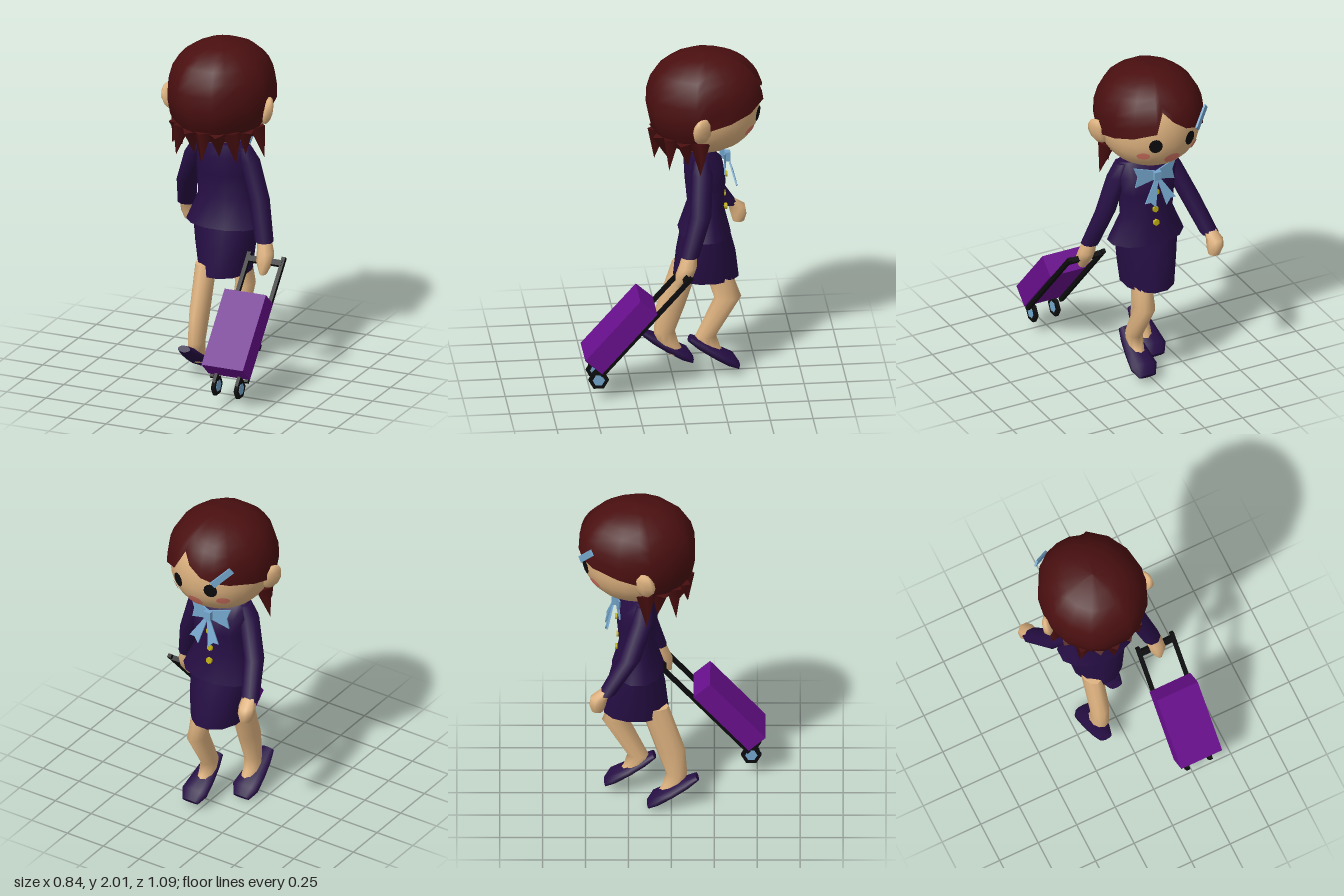
import * as THREE from 'three';

const mat = (name, color, side = THREE.FrontSide) => {
  const m = new THREE.MeshStandardMaterial({ color, side });
  m.name = name;
  return m;
};

// Joins rows of points into a skin that closes around each row
function grid(rows) {
  const n = rows[0].length, index = [];
  for (let i = 0; i < rows.length - 1; i++) for (let j = 0; j < n; j++) {
    const a = i * n + j, b = i * n + (j + 1) % n;
    index.push(a, b, b + n, a, b + n, a + n);
  }
  const g = new THREE.BufferGeometry();
  g.setAttribute('position', new THREE.Float32BufferAttribute(rows.flat(2), 3));
  g.setIndex(index);
  g.computeVertexNormals();
  return g;
}

// Capped loft through elliptical rings [x, y, z, rx, rz], bottom to top
function loft(sections, n = 10) {
  const ring = ([x, y, z, rx, rz]) => Array.from({ length: n }, (_, j) => {
    const a = (j + 0.5) / n * Math.PI * 2;
    return [x + Math.cos(a) * rx, y, z - Math.sin(a) * rz];
  });
  const centre = (s) => ring([s[0], s[1], s[2], 0, 0]);
  const first = sections[0], last = sections[sections.length - 1];
  return grid([centre(first), ring(first), ...sections.map(ring), ring(last), centre(last)]);
}

// Head surface: a slightly boxy ellipsoid, the face looks along -z
const HX = -0.055, HY = 1.69, HZ = -0.195;
const girth = (y) => Math.pow(Math.max(0, 1 - Math.pow(Math.abs((y - HY) / 0.31), 2.3)), 1 / 2.2);
const onHead = (deg, y, rx, rz) => {
  const a = THREE.MathUtils.degToRad(deg), k = girth(y);
  return [HX + Math.sin(a) * rx * k, y, HZ - Math.cos(a) * rz * k];
};

export function createModel() {
  const model = new THREE.Group();
  const skin = mat('skin', 0xdfb380), hair = mat('hair', 0x4a0f10, THREE.DoubleSide);
  const suit = mat('suit', 0x260e44), purple = mat('luggage purple', 0x680f8c);
  const black = mat('black', 0x0c0c0e), blue = mat('light blue', 0x74a6cc, THREE.DoubleSide);
  const yellow = mat('button yellow', 0xc4b414), pink = mat('blush pink', 0xdc7866);

  const add = (name, geometry, material, parent = model) => {
    const m = new THREE.Mesh(geometry, material);
    m.name = name;
    parent.add(m);
    return m;
  };

  // Head and neck
  const headRows = [];
  for (let i = 0; i <= 14; i++) {
    const y = HY + 0.3 * Math.cos(i / 14 * Math.PI);
    headRows.push(Array.from({ length: 24 }, (_, j) => {
      const p = onHead(j * 15, HY + (y - HY) * 0.31 / 0.3, 0.302, 0.328);
      return [p[0], y, p[2]];
    }));
  }
  add('head', grid(headRows), skin);
  add('neck', loft([[-0.04, 1.33, -0.18, 0.07, 0.06], [-0.045, 1.46, -0.19, 0.07, 0.06]]), skin);

  // Hair cap: [angle from the face, height of lower edge, bulge]
  const edge = [[-12, 1.735, 1.03], [2, 1.79, 1.02], [13, 1.85, 1.0], [21, 1.735, 1.05], [45, 1.69, 1.02],
    [68, 1.655, 1], [92, 1.62, 1], [103, 1.46, 1], [125, 1.46, 1], [150, 1.45, 1], [165, 1.45, 1], [195, 1.45, 1],
    [210, 1.45, 1], [235, 1.46, 1], [257, 1.46, 1], [268, 1.62, 1], [290, 1.655, 1], [318, 1.69, 1.03], [334, 1.71, 1.04]];
  const hairRows = [];
  for (let i = 0; i <= 8; i++) {
    const t = Math.pow(i / 8, 1.7);
    hairRows.push(edge.map(([deg, low, bulge]) =>
      onHead(deg, 2 - (2 - low) * t, 0.318 * bulge, 0.345 * bulge)));
  }
  add('hair', grid(hairRows), hair);

  // Pointed locks around the nape
  for (let i = 0; i < 9; i++) {
    const deg = 100 + i * 20;
    const root = new THREE.Vector3(...onHead(deg, 1.52, 0.285, 0.31));
    const a = THREE.MathUtils.degToRad(deg), reach = i % 2 ? 0.235 : 0.3;
    const tip = new THREE.Vector3(HX + Math.sin(a) * reach, i % 2 ? 1.36 : 1.335, HZ - Math.cos(a) * reach * 0.97);
    const dir = tip.clone().sub(root);
    const lock = add('hairLock', new THREE.ConeGeometry(0.058, dir.length(), 4), hair);
    lock.position.copy(root).lerp(tip, 0.5);
    lock.quaternion.setFromUnitVectors(new THREE.Vector3(0, 1, 0), dir.normalize());
  }

  // Ears
  for (const s of [-1, 1]) {
    const ear = add(s > 0 ? 'leftEar' : 'rightEar', new THREE.SphereGeometry(1, 7, 6), skin);
    ear.scale.set(0.032, 0.085, 0.068);
    ear.position.set(HX + s * 0.31, 1.625, -0.155);
    ear.rotation.set(0.15, s * 0.45, -s * 0.28);
  }

  // Painted face: discs laid on the head surface
  const facePatch = (name, x, y, rx, ry, material) => {
    const g = new THREE.CircleGeometry(1, 12), p = g.attributes.position;
    for (let i = 0; i < p.count; i++) {
      const px = x - p.getX(i) * rx, py = y + p.getY(i) * ry, u = (px - HX) / 0.302;
      const k = girth(HY + (py - HY) * 0.31 / 0.3);
      p.setXYZ(i, px, py, HZ - 0.328 * Math.sqrt(Math.max(0, k * k - u * u)) - 0.007);
    }
    g.computeVertexNormals();
    add(name, g, material);
  };
  for (const s of [-1, 1]) {
    facePatch('eye', HX + s * 0.112, 1.64, 0.037, 0.047, black);
    facePatch('cheek', HX + s * 0.165, 1.56, 0.032, 0.027, pink);
  }
  facePatch('mouth', HX, 1.53, 0.05, 0.038, pink);

  // Hair clip
  const clip = add('hairClip', new THREE.BoxGeometry(0.15, 0.04, 0.012), blue);
  clip.position.set(-0.245, 1.755, -0.497);
  clip.rotation.set(0, 0.62, -0.72, 'YXZ');

  // Jacket and skirt
  add('jacket', loft([
    [-0.035, 0.88, -0.195, 0.24, 0.155], [-0.038, 1.05, -0.2, 0.165, 0.105], [-0.038, 1.2, -0.2, 0.175, 0.12],
    [-0.04, 1.31, -0.19, 0.19, 0.115], [-0.04, 1.39, -0.16, 0.17, 0.065]], 12), suit);
  add('skirt', loft([
    [-0.037, 0.585, -0.205, 0.155, 0.195], [-0.037, 0.75, -0.205, 0.18, 0.175], [-0.037, 0.9, -0.2, 0.195, 0.14]], 12), suit);
  for (const [y, z] of [[1.22, -0.322], [1.1, -0.312], [1.015, -0.322]]) {
    const button = add('button', new THREE.CylinderGeometry(0.02, 0.02, 0.016, 6), yellow);
    button.rotation.x = Math.PI / 2;
    button.position.set(-0.04, y, z);
  }

  // Neck bow: two flared loops and two tails
  const bow = new THREE.Group();
  bow.name = 'bow';
  bow.position.set(-0.04, 1.335, -0.325);
  model.add(bow);
  const plate = (pts) => new THREE.ExtrudeGeometry(
    new THREE.Shape(pts.map(([x, y]) => new THREE.Vector2(x, y))), { depth: 0.009, bevelEnabled: false });
  for (const s of [-1, 1]) {
    const loop = add('bowLoop', plate([[0, 0.025], [s * 0.14, 0.065], [s * 0.115, 0.0], [s * 0.13, -0.065], [0, -0.025]]), blue, bow);
    loop.rotation.y = -s * 0.15;
    const tail = add('bowTail', plate([[0, 0.01], [s * 0.1, -0.15], [s * 0.065, -0.15], [s * 0.035, -0.185], [0, -0.03]]), blue, bow);
    tail.rotation.x = 0.28;
    tail.position.z = -0.012;
  }
  add('bowKnot', new THREE.BoxGeometry(0.045, 0.055, 0.03), blue, bow).position.z = -0.008;

  // Sleeves and hands: right arm swings forward, left arm pulls the case
  add('rightSleeve', loft([
    [-0.362, 0.89, -0.375, 0.055, 0.05], [-0.3, 1.09, -0.24, 0.06, 0.065],
    [-0.215, 1.3, -0.165, 0.06, 0.065], [-0.185, 1.38, -0.16, 0.04, 0.045]], 8), suit);
  add('rightHand', loft([
    [-0.365, 0.775, -0.43, 0.035, 0.035], [-0.37, 0.82, -0.43, 0.05, 0.05],
    [-0.372, 0.87, -0.42, 0.05, 0.052], [-0.355, 0.92, -0.365, 0.04, 0.035]], 8), skin);
  add('leftSleeve', loft([
    [0.268, 0.84, -0.08, 0.055, 0.055], [0.205, 1.07, -0.15, 0.06, 0.065],
    [0.135, 1.3, -0.165, 0.06, 0.065], [0.105, 1.38, -0.16, 0.04, 0.045]], 8), suit);
  add('leftHand', loft([
    [0.288, 0.66, -0.02, 0.02, 0.025], [0.288, 0.73, -0.045, 0.05, 0.055],
    [0.283, 0.78, -0.065, 0.05, 0.055], [0.268, 0.86, -0.08, 0.042, 0.042]], 8), skin);

  // Legs, running down into the instep
  add('rightLeg', loft([
    [-0.125, 0.055, -0.04, 0.05, 0.05], [-0.12, 0.13, 0.015, 0.048, 0.065], [-0.115, 0.2, 0.03, 0.05, 0.062],
    [-0.112, 0.36, -0.005, 0.057, 0.085], [-0.112, 0.65, -0.1, 0.06, 0.085]]), skin);
  add('leftLeg', loft([
    [0.045, 0.1, -0.27, 0.05, 0.05], [0.042, 0.16, -0.215, 0.048, 0.065], [0.04, 0.23, -0.195, 0.05, 0.062],
    [0.036, 0.47, -0.325, 0.057, 0.08], [0.036, 0.65, -0.265, 0.06, 0.075]]), skin);

  // Shoes, pitched down towards the toe
  for (const [name, x, y, z] of [['rightShoe', -0.14, 0.186, 0.15], ['leftShoe', 0.05, 0.222, -0.1]]) {
    const shoe = add(name, loft([
      [0, 0, 0, 0.04, 0.02], [0, 0.08, 0, 0.06, 0.032], [0, 0.18, 0, 0.075, 0.034],
      [0, 0.28, 0.005, 0.085, 0.036], [0, 0.34, -0.005, 0.055, 0.015]]), suit);
    shoe.position.set(x, y, z);
    shoe.rotation.x = -2.13;
  }

  // Wheeled suitcase, leaning back
  const luggage = new THREE.Group();
  luggage.name = 'suitcase';
  luggage.position.set(0.2875, 0.406, 0.338);
  luggage.rotation.x = -0.725;
  model.add(luggage);
  add('caseBody', new THREE.BoxGeometry(0.265, 0.487, 0.132), purple, luggage);
  for (const s of [-1, 1]) {
    add('handleRod', new THREE.BoxGeometry(0.024, 0.8, 0.024), black, luggage).position.set(s * 0.11, 0.14, -0.077);
    // Hexagonal wheel with a hub cap on both sides
    const wheel = add('wheel', new THREE.CylinderGeometry(0.06, 0.06, 0.022, 6), black);
    wheel.rotation.z = Math.PI / 2;
    wheel.position.set(0.2875 + s * 0.073, 0.12, 0.465);
    add('wheelHub', new THREE.CylinderGeometry(0.036, 0.036, 0.027, 6), blue, wheel);
    add('wheelFork', new THREE.BoxGeometry(0.02, 0.08, 0.025), black, luggage).position.set(s * 0.073, -0.265, -0.05);
  }
  add('handleBar', new THREE.BoxGeometry(0.22, 0.035, 0.03), black, luggage).position.set(0, 0.5, -0.077);

  return model;
}
